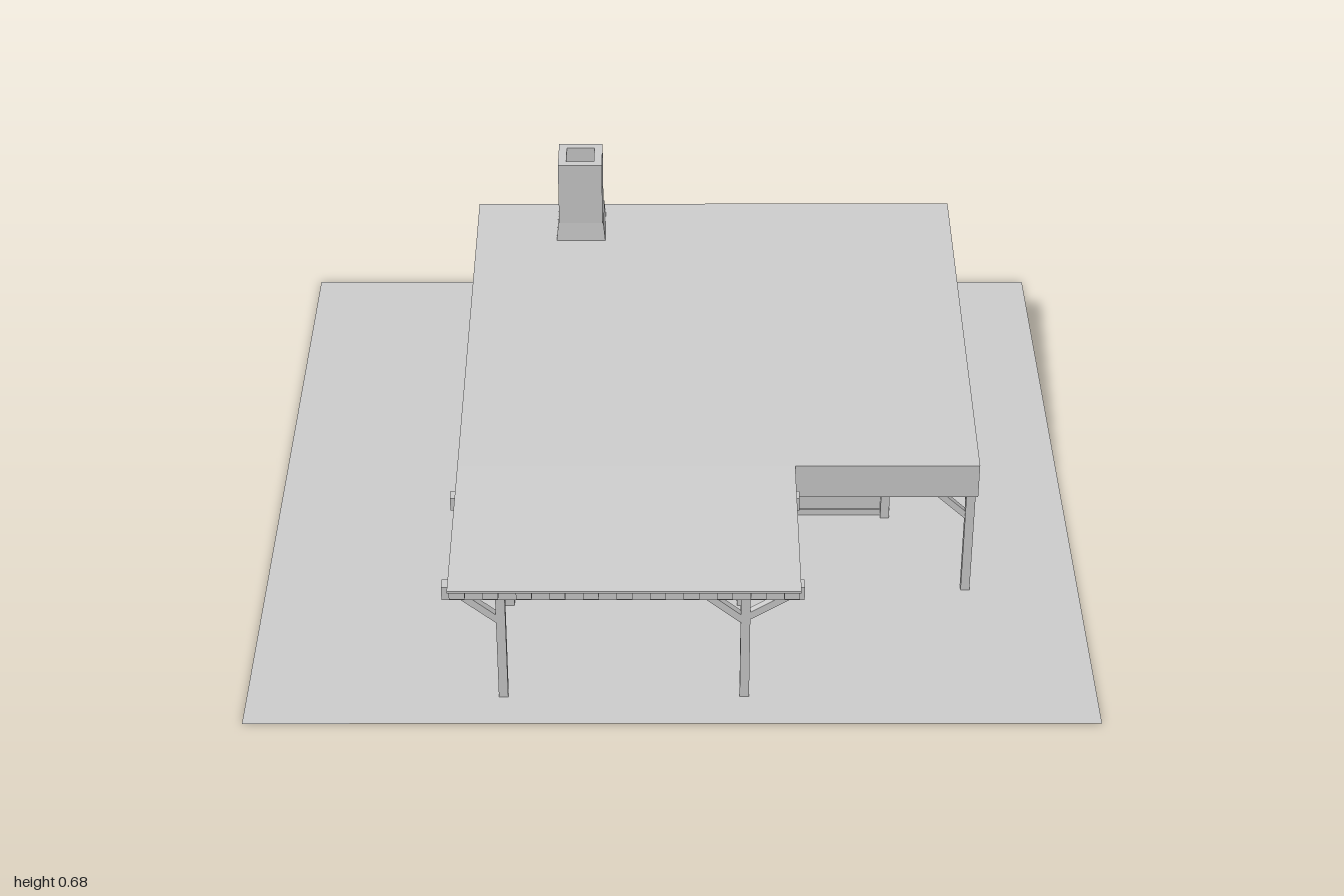
import * as THREE from 'three';

const mat = new THREE.MeshStandardMaterial({ color: 0xcccccc, side: THREE.DoubleSide, flatShading: true });

export function createModel() {
  const house = new THREE.Group();
  house.name = 'house';

  const add = (name, geo, parent = house) => {
    const m = new THREE.Mesh(geo, mat);
    m.name = name;
    parent.add(m);
    return m;
  };
  // Box given by its limits on each axis
  const box = (name, x0, x1, y0, y1, z0, z1, parent) => {
    const m = add(name, new THREE.BoxGeometry(x1 - x0, y1 - y0, z1 - z0), parent);
    m.position.set((x0 + x1) / 2, (y0 + y1) / 2, (z0 + z1) / 2);
    return m;
  };
  // Square timber between two points
  const strut = (name, a, b, w = 0.02) => {
    const p = new THREE.Vector3(...a), q = new THREE.Vector3(...b);
    const m = add(name, new THREE.BoxGeometry(w, w, p.distanceTo(q)));
    m.position.copy(p).lerp(q, 0.5);
    m.lookAt(q);
    return m;
  };
  const post = (name, x, z, top) => box(name, x - 0.011, x + 0.011, 0, top, z - 0.011, z + 0.011);

  const EAVE = 0.345, LEFT = -0.513, RIGHT = 0.737, BACK = -0.61, FRONT = 0.93;
  const STEP = 0.484, WING = 0.295;
  const roofY = z => 0.472 + (z - BACK) / (FRONT - BACK) * (0.351 - 0.472);

  // Ground slab
  const ground = add('ground', new THREE.PlaneGeometry(2, 1.952));
  ground.rotation.x = -Math.PI / 2;

  // Wedge roof: side profile extruded across x
  const wedge = (name, x0, x1, z0, z1) => {
    const s = new THREE.Shape([[-z0, EAVE], [-z0, roofY(z0)], [-z1, roofY(z1)], [-z1, EAVE]]
      .map(p => new THREE.Vector2(...p)));
    const g = new THREE.ExtrudeGeometry(s, { depth: x1 - x0, bevelEnabled: false });
    g.rotateY(Math.PI / 2);
    add(name, g).position.x = x0;
  };
  wedge('mainRoof', LEFT, RIGHT, BACK, STEP);
  wedge('porchRoof', LEFT, WING, STEP, FRONT);

  // Wall panel facing local +z, from u0 to u1, with optional windows [u0, u1, narrowPaneSide]
  const SILL = 0.065, HEAD = 0.28;
  const wall = (name, u0, u1, x, z, turn, windows = []) => {
    const g = new THREE.Group();
    g.name = name;
    g.position.set(x, 0, z);
    g.rotation.y = turn;
    house.add(g);
    const rect = (a, b, c, d, Kind) =>
      new Kind([[a, c], [b, c], [b, d], [a, d]].map(p => new THREE.Vector2(...p)));
    const s = rect(u0, u1, 0, EAVE, THREE.Shape);
    for (const [a, b, side] of windows) {
      s.holes.push(rect(a, b, SILL, HEAD, THREE.Path));
      box('windowPane', a, b, SILL, HEAD, -0.016, -0.01, g);
      const m = side > 0 ? b - (b - a) * 0.3 : a + (b - a) * 0.3;
      box('windowMullion', m - 0.007, m + 0.007, SILL, HEAD, -0.012, -0.002, g);
      for (const e of [a, b - 0.007]) box('windowJamb', e, e + 0.007, SILL, HEAD, -0.012, 0.002, g);
      box('windowSill', a, b, SILL - 0.005, SILL + 0.002, -0.012, 0.014, g);
    }
    const geo = new THREE.ExtrudeGeometry(s, { depth: 0.02, bevelEnabled: false });
    geo.translate(0, 0, -0.02);
    add('wallPanel', geo, g);
    box('plinth', u0, u1, 0, 0.018, -0.01, 0.004, g);
    return g;
  };
  const H = Math.PI / 2;
  wall('backWall', -0.553, 0.513, 0, BACK, Math.PI, [[-0.435, -0.13, 1]]);
  wall('rightWingWall', BACK, 0.48, LEFT, 0, -H, [[-0.484, -0.19, -1], [0.06, 0.355, -1]]);
  wall('frontWall', LEFT, 0.07, 0, 0.48, 0, [[-0.385, -0.08, 1]]);
  wall('entryWall', -0.48, -0.15, 0.07, 0, H);
  wall('innerFrontWall', 0.07, 0.55, 0, 0.15, 0);
  wall('leftWall', -0.15, 0.61, 0.55, 0, H);

  // Entry door with step
  box('entryDoor', 0.07, 0.074, 0.018, 0.24, 0.26, 0.38);
  box('doorKnob', 0.074, 0.084, 0.12, 0.128, 0.342, 0.35);
  box('doorStep', 0.075, 0.165, 0, 0.02, 0.26, 0.38);
  // Double doors on the side
  for (const s of [-1, 1]) {
    const c = -0.255 + s * 0.08;
    box('sideDoor', 0.55, 0.553, 0.018, 0.24, c - 0.077, c + 0.077);
    const k = -0.255 + s * 0.025;
    box('doorKnob', 0.553, 0.562, 0.121, 0.129, k - 0.004, k + 0.004);
  }
  box('doorStrip', 0.55, 0.557, 0.018, 0.24, -0.259, -0.251);

  // Front porch: rafters, cross beams, posts and braces
  for (let i = 0; i < 11; i++) {
    const x = LEFT + 0.004 + i * 0.0765;
    box('rafter', x, x + 0.036, 0.325, EAVE, STEP - 0.004, FRONT - 0.004);
  }
  for (const z of [0.867, 0.518]) {
    box('porchBeam', -0.53, 0.305, 0.29, 0.326, z - 0.015, z + 0.015);
    for (const x of [-0.396, 0.17]) {
      post('porchPost', x, z, 0.29);
      strut('porchBrace', [x - 0.005, 0.225, z], [x - 0.085, 0.292, z], 0.018);
    }
    strut('porchBrace', [0.175, 0.235, z], [0.265, 0.292, z], 0.018);
  }

  // Side porch: perimeter beams, posts and braces
  box('sideBeam', RIGHT - 0.024, RIGHT, 0.295, EAVE, BACK, STEP);
  box('frontBeam', 0.07, RIGHT, 0.295, EAVE, STEP - 0.024, STEP);
  box('backBeam', 0.55, RIGHT, 0.295, EAVE, BACK, BACK + 0.024);
  for (const [z, s] of [[0.455, -1], [-0.595, 1]]) {
    post('sidePost', 0.722, z, 0.3);
    strut('sideBrace', [0.722, 0.215, z], [0.722, 0.3, z + s * 0.09], 0.016);
    strut('sideBrace', [0.722, 0.215, z], [0.632, 0.3, z], 0.016);
  }
  post('wallPost', 0.577, -0.595, 0.3);
  post('cornerPost', 0.541, 0.156, EAVE);
  strut('cornerBrace', [0.545, 0.205, 0.165], [0.61, 0.297, 0.25], 0.018);
  box('cornerBeam', 0.55, RIGHT, 0.295, EAVE, 0.24, 0.262);

  // Chimney: hollow square shaft on a tapered collar
  const cx = -0.238, cz = -0.506;
  const square = (r, Kind) => new Kind([[-r, -r], [r, -r], [r, r], [-r, r]].map(p => new THREE.Vector2(...p)));
  const shaft = square(0.057, THREE.Shape);
  shaft.holes.push(square(0.036, THREE.Path));
  const shaftGeo = new THREE.ExtrudeGeometry(shaft, { depth: 0.24, bevelEnabled: false });
  shaftGeo.rotateX(-H);
  add('chimneyShaft', shaftGeo).position.set(cx, 0.44, cz);
  const collar = new THREE.CylinderGeometry(0.059 * Math.SQRT2, 0.065 * Math.SQRT2, 0.065, 4, 1, true);
  collar.rotateY(Math.PI / 4);
  add('chimneyCollar', collar).position.set(cx, 0.477, cz);

  return house;
}
